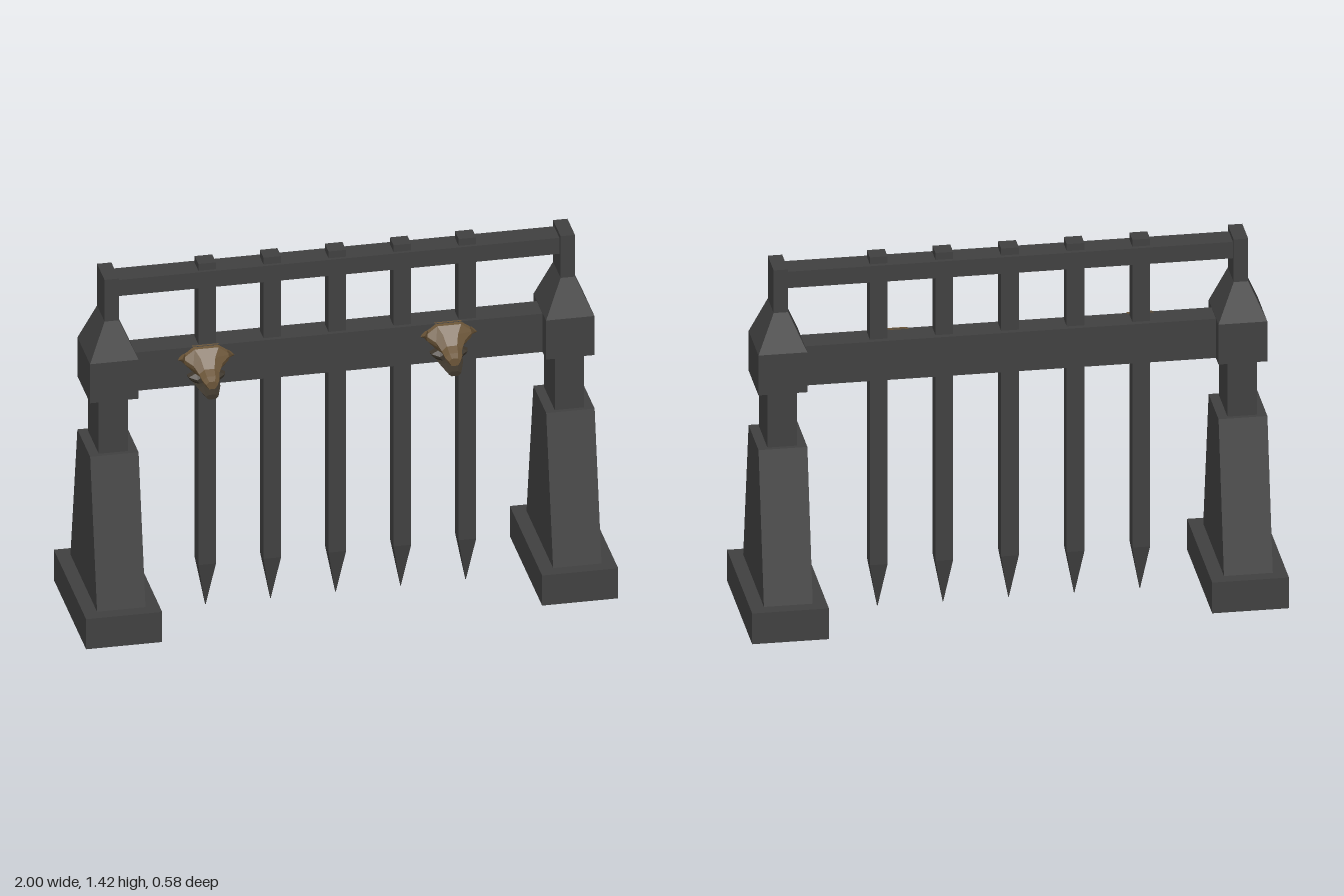
import * as THREE from 'three';

const iron = new THREE.MeshStandardMaterial({ color: 0x404040, side: THREE.DoubleSide });
iron.name = 'darkIron';
const bronze = new THREE.MeshStandardMaterial({ color: 0x6b5538 });
bronze.name = 'bronze';
const darkBronze = new THREE.MeshStandardMaterial({ color: 0x3c352b });
darkBronze.name = 'darkBronze';

// Skin a list of equal-sized rings (counter-clockwise seen from the last ring), with optional end caps
function loft(rings, startCap = true, endCap = true) {
  const n = rings[0].length, index = [];
  rings.slice(1).forEach((_, k) => {
    for (let i = 0; i < n; i++) {
      const j = (i + 1) % n, a = k * n + i, b = k * n + j;
      index.push(a, b, b + n, a, b + n, a + n);
    }
  });
  const last = (rings.length - 1) * n;
  for (let i = 1; i < n - 1; i++) {
    if (startCap) index.push(0, i + 1, i);
    if (endCap) index.push(last, last + i, last + i + 1);
  }
  const geo = new THREE.BufferGeometry();
  geo.setAttribute('position', new THREE.Float32BufferAttribute(rings.flat(2), 3));
  geo.setIndex(index);
  const flat = geo.toNonIndexed();
  flat.computeVertexNormals();
  return flat;
}

// Horizontal rectangle with half width w and half depth d at height y
const rect = (y, w, d) => [[w, y, d], [w, y, -d], [-w, y, -d], [-w, y, d]];

function add(parent, name, geo, mat, x = 0, y = 0, z = 0) {
  const mesh = new THREE.Mesh(geo, mat);
  mesh.name = name;
  mesh.position.set(x, y, z);
  parent.add(mesh);
  return mesh;
}

function createPillar(side) {
  const g = new THREE.Group();
  g.name = side > 0 ? 'leftPillar' : 'rightPillar';
  const x = side * 0.857;
  // Hollow foot, open underneath
  add(g, 'foot', loft([rect(0.01, 0.143, 0.288), rect(0.134, 0.143, 0.288)], false), iron, x);
  add(g, 'buttress', loft([rect(0.134, 0.091, 0.237), rect(0.712, 0.091, 0.114)]), iron, x);
  add(g, 'neck', loft([rect(0.712, 0.055, 0.096), rect(0.935, 0.055, 0.096)]), iron, x);
  add(g, 'capital', loft([
    rect(0.932, 0.091, 0.112), rect(1.093, 0.091, 0.112),
    rect(1.24, 0.027, 0.067), rect(1.412, 0.027, 0.067),
  ]), iron, x);
  return g;
}

function createHead() {
  const g = new THREE.Group();
  // Symmetrical section: half width, top and bottom heights
  const ring = (z, w, top, bottom) => {
    const h = top - bottom;
    const half = [[0.5 * w, bottom], [0.9 * w, bottom + 0.4 * h], [w, bottom + 0.65 * h], [0.5 * w, top]];
    return [...half.map(([x, y]) => [x, y, z]),
      ...half.slice().reverse().map(([x, y]) => [-x, y, z])];
  };
  // Broad brow narrowing to the muzzle
  add(g, 'skull', loft([
    ring(0.04, 0.1, 1.092, 0.99), ring(0.065, 0.09, 1.088, 0.99),
    ring(0.09, 0.055, 1.06, 0.985), ring(0.115, 0.038, 1.027, 0.975),
    ring(0.145, 0.032, 1.012, 0.968), ring(0.165, 0.022, 1.0, 0.97),
  ]), bronze);
  add(g, 'cheeks', loft([
    ring(0.04, 0.075, 1.0, 0.945), ring(0.07, 0.068, 0.995, 0.945), ring(0.09, 0.04, 0.985, 0.95),
  ]), darkBronze);
  add(g, 'lowerJaw', loft([
    ring(0.04, 0.055, 0.965, 0.935), ring(0.11, 0.042, 0.958, 0.935), ring(0.165, 0.024, 0.947, 0.928),
  ]), darkBronze);
  // Ears at the sides of the brow
  for (const s of [-1, 1]) {
    const ear = add(g, 'ear', new THREE.ConeGeometry(0.018, 0.04, 4), bronze, s * 0.08, 1.045, 0.06);
    ear.rotation.z = s * 2.4;
  }
  return g;
}

export function createModel() {
  const model = new THREE.Group();
  model.name = 'portcullisGate';
  for (const s of [-1, 1]) model.add(createPillar(s));

  // Horizontal beams between the pillars
  add(model, 'topBeam', new THREE.BoxGeometry(1.67, 0.066, 0.096), iron, 0, 1.362, -0.002);
  add(model, 'middleBeam', new THREE.BoxGeometry(1.54, 0.158, 0.104), iron, 0, 1.012, -0.002);

  // Pointed vertical bars
  for (let i = -2; i <= 2; i++) {
    add(model, 'spikedBar', loft([
      rect(0, 0.001, 0.001), rect(0.18, 0.033, 0.033), rect(1.423, 0.033, 0.033),
    ]), iron, i * 0.2445 - 0.002);
  }

  // Beast heads on the front of the middle beam
  for (const x of [-0.5, 0.412]) {
    const head = createHead();
    head.name = x > 0 ? 'leftHead' : 'rightHead';
    head.position.x = x;
    model.add(head);
  }
  return model;
}
